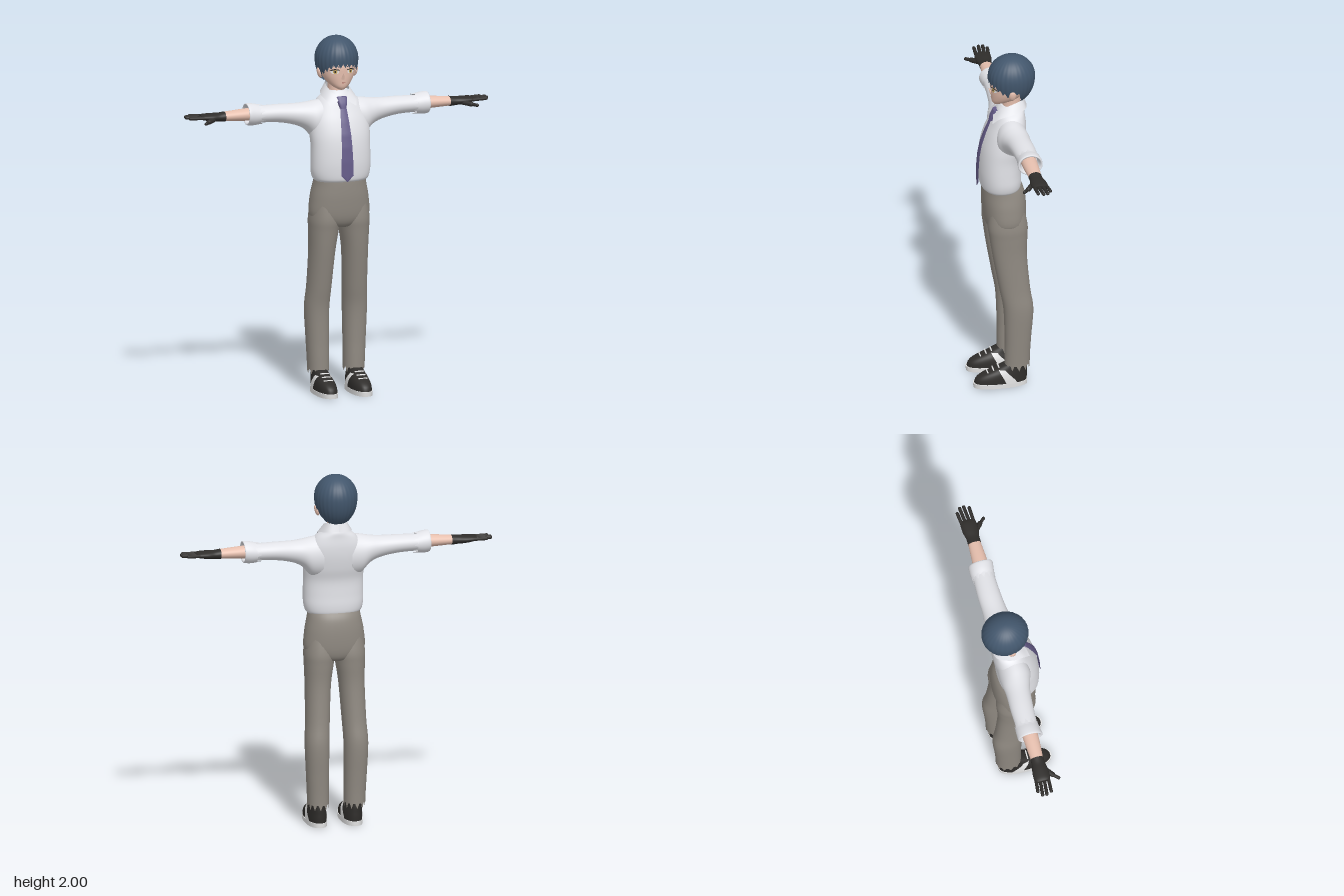
import * as THREE from 'three';
import { mergeVertices } from 'three/addons/utils/BufferGeometryUtils.js';

const paint = (name, color) => {
  const m = new THREE.MeshStandardMaterial({ color, side: THREE.DoubleSide });
  m.name = name;
  return m;
};
const HAIR = paint('hair blue', 0x42566c), SKIN = paint('skin', 0xe6bfae), SHIRT = paint('shirt white', 0xe6e7ec);
const PANTS = paint('trouser grey', 0x8f8981), TIE = paint('tie purple', 0x665d8a), BLACK = paint('black', 0x2f2d2b);
const WHITE = paint('sole white', 0xe4e4e4), GOLD = paint('iris gold', 0xc9a860), LIP = paint('lip', 0xa8685f);

// Grid of (nu+1) rows by nv columns; rows can close into rings and be capped
function grid(nu, nv, fn, { closed = false, capStart = false, capEnd = false } = {}) {
  const pos = [], idx = [], cols = closed ? nv : nv + 1;
  for (let i = 0; i <= nu; i++)
    for (let j = 0; j < cols; j++) pos.push(...fn(i / nu, j / nv, i, j));
  for (let i = 0; i < nu; i++)
    for (let j = 0; j < nv; j++) {
      const k = (j + 1) % cols, a = i * cols + j, b = i * cols + k;
      idx.push(a, a + cols, b, b, a + cols, b + cols);
    }
  const cap = (row, end) => {
    const base = pos.length / 3, c = [0, 0, 0];
    for (let j = 0; j < cols; j++)
      for (let k = 0; k < 3; k++) {
        const p = pos[(row * cols + j) * 3 + k];
        pos.push(p);
        c[k] += p / cols;
      }
    pos.push(...c);
    for (let j = 0; j < cols; j++) {
      const a = base + j, b = base + (j + 1) % cols;
      idx.push(base + cols, end ? b : a, end ? a : b);
    }
  };
  if (capStart) cap(0, false);
  if (capEnd) cap(nu, true);
  const g = new THREE.BufferGeometry();
  g.setAttribute('position', new THREE.Float32BufferAttribute(pos, 3));
  g.setIndex(idx);
  g.computeVertexNormals();
  return g;
}

// Smoothly interpolated section at u (0..1)
function sectionAt(s, u) {
  const f = u * (s.length - 1), i = Math.min(Math.floor(f), s.length - 2), t = f - i;
  const at = k => s[Math.max(0, Math.min(s.length - 1, k))];
  return s[0].map((_, c) => {
    const a = at(i - 1)[c], b = at(i)[c], d = at(i + 1)[c], e = at(i + 2)[c];
    return b + 0.5 * t * (d - a + t * (2 * a - 5 * b + 4 * d - e + t * (3 * (b - d) + e - a)));
  });
}

// Loft through sections [position, aMin, aMax, bMin, bMax]; axis y: a=x b=z, axis x: a=z b=y
function loft(s, { axis = 'y', n = 2, sides = 36, steps = 5, jagStart = 0, jagEnd = 0, capStart = true, capEnd = true } = {}) {
  const nu = (s.length - 1) * steps;
  const pw = v => Math.sign(v) * Math.abs(v) ** (2 / n);
  return grid(nu, sides, (u, v, i, j) => {
    let [p, a0, a1, b0, b1] = sectionAt(s, u);
    if (j % 3 === 0) p += i === 0 ? jagStart : i === nu ? jagEnd : 0;
    const th = v * Math.PI * 2;
    const a = (a0 + a1) / 2 + (a1 - a0) / 2 * pw(Math.cos(th)), b = (b0 + b1) / 2 + (b1 - b0) / 2 * pw(Math.sin(th));
    return axis === 'y' ? [a, p, b] : [p, b, a];
  }, { closed: true, capStart, capEnd });
}
const sym = rows => rows.map(([y, w, z0, z1]) => [y, -w, w, z0, z1]);

// Rounded rod between two points
function rod(p, q, r) {
  const a = new THREE.Vector3(...p), b = new THREE.Vector3(...q), d = b.clone().sub(a);
  const g = new THREE.CapsuleGeometry(r, d.length(), 4, 10);
  g.applyQuaternion(new THREE.Quaternion().setFromUnitVectors(new THREE.Vector3(0, 1, 0), d.normalize()));
  return g.translate(...a.add(b).multiplyScalar(0.5).toArray());
}

// Thin plate that follows the curve of the face
function facePlate(points, lift) {
  const g = new THREE.ShapeGeometry(new THREE.Shape(points.map(p => new THREE.Vector2(...p))));
  const p = g.attributes.position;
  for (let i = 0; i < p.count; i++) p.setZ(i, -0.034 + 0.101 * Math.sqrt(1 - (p.getX(i) / 0.1) ** 2) + lift);
  g.computeVertexNormals();
  return g;
}
const oval = (x, y, rx, ry) => Array.from({ length: 16 }, (_, i) => [x + rx * Math.cos(i * Math.PI / 8), y + ry * Math.sin(i * Math.PI / 8)]);

export function createModel() {
  const model = new THREE.Group();
  model.name = 'figure';
  const add = (name, geo, mat) => {
    const m = new THREE.Mesh(geo, mat);
    m.name = name;
    model.add(m);
  };
  const both = (name, geo, mat) => {
    const g = geo.index ? geo : mergeVertices(geo), r = g.clone().scale(-1, 1, 1), ix = r.index.array;
    for (let i = 0; i < ix.length; i += 3) [ix[i], ix[i + 1]] = [ix[i + 1], ix[i]];
    add(name + 'Left', g, mat);
    add(name + 'Right', r, mat);
  };

  // Head, neck, ears and nose
  add('head', loft(sym([[1.712, 0.014, 0.015, 0.05], [1.73, 0.045, -0.04, 0.061], [1.76, 0.075, -0.1, 0.065], [1.80, 0.095, -0.13, 0.067],
    [1.85, 0.104, -0.155, 0.066], [1.92, 0.092, -0.145, 0.045], [1.97, 0.045, -0.1, -0.005]])), SKIN);
  add('neck', loft(sym([[1.63, 0.055, -0.105, 0.01], [1.70, 0.048, -0.1, 0], [1.77, 0.05, -0.1, 0]])), SKIN);
  both('ear', new THREE.SphereGeometry(1, 14, 10).scale(0.013, 0.032, 0.02).rotateZ(-0.25).translate(0.104, 1.8, -0.035), SKIN);
  add('nose', new THREE.ConeGeometry(0.011, 0.04, 10).rotateX(0.5).translate(0, 1.795, 0.07), SKIN);

  // Facial details
  both('eyeWhite', facePlate(oval(0.046, 1.818, 0.022, 0.013), 0.004), WHITE);
  both('iris', facePlate(oval(0.045, 1.818, 0.011, 0.0125), 0.006), GOLD);
  both('pupil', facePlate(oval(0.045, 1.818, 0.004, 0.006), 0.0075), BLACK);
  both('lash', facePlate([[0.02, 1.825], [0.045, 1.829], [0.07, 1.82], [0.073, 1.824], [0.047, 1.835], [0.022, 1.83]], 0.007), BLACK);
  both('brow', facePlate([[0.02, 1.842], [0.05, 1.85], [0.073, 1.843], [0.05, 1.855], [0.02, 1.847]], 0.005), HAIR);
  add('mouth', facePlate([[-0.016, 1.755], [0, 1.752], [0.016, 1.755], [0, 1.757]], 0.003), LIP);

  // Hair cap with a tooth-edged rim: fringe, sidelocks, nape
  const rim = [[0, 1.85], [0.5, 1.848], [0.9, 1.82], [1.15, 1.80], [1.35, 1.785], [1.5, 1.815], [1.75, 1.81], [2, 1.75], [2.6, 1.73], [3.15, 1.727]];
  const rimY = a => {
    const k = Math.max(1, rim.findIndex(r => r[0] >= a)), [a0, y0] = rim[k - 1], [a1, y1] = rim[k];
    return y0 + (y1 - y0) * (a - a0) / (a1 - a0);
  };
  add('hair', grid(24, 168, (u, v) => {
    const az = v * Math.PI * 2, a = Math.min(az, Math.PI * 2 - az), tooth = Math.abs(((v * 28) % 1) - 0.35);
    const drop = rimY(a) - 1.875 + (a < 1.4 ? 0.045 : 0.025) * (tooth - 0.25);
    const phi = u * Math.acos(drop / (drop > 0 ? 0.125 : 0.165)), c = Math.cos(phi);
    const s = Math.sin(phi) * (1 - 0.04 * u * tooth);
    return [0.12 * s * Math.sin(az), 1.875 + c * (c > 0 ? 0.125 : 0.165), -0.05 + 0.132 * s * Math.cos(az)];
  }, { closed: true }), HAIR);

  // Shirt body, collar, sleeves and rolled cuffs
  add('shirtBody', loft(sym([[1.205, 0.146, -0.085, 0.118], [1.22, 0.158, -0.095, 0.127], [1.26, 0.167, -0.098, 0.132], [1.32, 0.168, -0.095, 0.134],
    [1.40, 0.167, -0.095, 0.129], [1.47, 0.17, -0.112, 0.117], [1.54, 0.166, -0.123, 0.094], [1.60, 0.148, -0.125, 0.066],
    [1.65, 0.115, -0.12, 0.042], [1.68, 0.075, -0.117, 0.028], [1.70, 0.055, -0.107, 0.01]]), { n: 2.3, sides: 48 }), SHIRT);
  const curve = pts => new THREE.CatmullRomCurve3(pts.map(p => new THREE.Vector3(...p)));
  const top = curve([[0.012, 1.66, 0.056], [0.052, 1.70, 0.012], [0.062, 1.725, -0.045], [0.045, 1.74, -0.1], [0, 1.745, -0.115]]);
  const hem = curve([[0.075, 1.622, 0.072], [0.088, 1.655, 0.03], [0.095, 1.675, -0.04], [0.065, 1.69, -0.115], [0, 1.69, -0.135]]);
  both('collar', grid(4, 20, (u, v) => hem.getPoint(v).lerp(top.getPoint(v), u).toArray()), SHIRT);
  both('sleeve', loft([[0.08, -0.115, 0.055, 1.42, 1.655], [0.14, -0.118, 0.058, 1.43, 1.648], [0.19, -0.115, 0.042, 1.485, 1.64], [0.25, -0.11, 0.026, 1.515, 1.635],
    [0.35, -0.112, 0.016, 1.535, 1.635], [0.47, -0.108, 0.01, 1.54, 1.632]], { axis: 'x' }), SHIRT);
  both('cuff', loft([[0.455, -0.116, 0.014, 1.53, 1.64], [0.49, -0.118, 0.018, 1.526, 1.648], [0.525, -0.116, 0.022, 1.53, 1.65],
    [0.52, -0.105, 0.008, 1.542, 1.638], [0.48, -0.095, -0.002, 1.55, 1.63]],
    { axis: 'x', jagStart: -0.025, capStart: false, capEnd: false }), SHIRT);

  // Tie: blade following the chest, and a knot
  const blade = [[1.21, 0.001, 0.147], [1.245, 0.036, 0.146], [1.32, 0.034, 0.145], [1.40, 0.031, 0.139], [1.47, 0.028, 0.126], [1.54, 0.024, 0.103], [1.62, 0.018, 0.07]];
  add('tieBlade', grid(36, 4, (u, v) => {
    const f = u * 6, i = Math.min(5, Math.floor(f)), [y, w, z] = blade[i].map((b, c) => b + (blade[i + 1][c] - b) * (f - i));
    return [(2 * v - 1) * w, y, z - 0.003 * (2 * v - 1) ** 2];
  }), TIE);
  add('tieKnot', loft(sym([[1.61, 0.018, 0.045, 0.078], [1.64, 0.026, 0.035, 0.07], [1.672, 0.031, 0.02, 0.053]]), { n: 3 }), TIE);

  // Trousers
  add('trouserSeat', loft(sym([[0.935, 0.03, -0.05, 0.04], [0.95, 0.11, -0.1, 0.08], [1.0, 0.168, -0.122, 0.105], [1.10, 0.165, -0.125, 0.115],
    [1.18, 0.15, -0.114, 0.115], [1.225, 0.143, -0.09, 0.112]]), { n: 2.3 }), PANTS);
  both('trouserLeg', loft([[0.13, 0.045, 0.162, -0.13, 0.01], [0.2, 0.045, 0.165, -0.132, 0.01], [0.3, 0.045, 0.17, -0.138, 0.01], [0.47, 0.043, 0.177, -0.149, 0.017],
    [0.6, 0.037, 0.17, -0.132, 0.04], [0.8, 0.025, 0.166, -0.116, 0.075], [0.92, 0.008, 0.169, -0.12, 0.092], [0.99, 0, 0.17, -0.121, 0.1],
    [1.10, 0.02, 0.155, -0.1, 0.09]], { n: 2.2, jagStart: -0.03, capStart: false }), PANTS);

  // Forearms and gloves
  both('forearm', loft([[0.44, -0.092, -0.002, 1.55, 1.628], [0.55, -0.088, -0.004, 1.556, 1.622], [0.67, -0.08, -0.012, 1.562, 1.612]], { axis: 'x' }), SKIN);
  both('glovePalm', loft([[0.655, -0.083, -0.009, 1.558, 1.615], [0.69, -0.083, -0.009, 1.562, 1.61], [0.73, -0.092, -0.002, 1.565, 1.61],
    [0.775, -0.094, -0.004, 1.573, 1.608], [0.795, -0.088, -0.012, 1.58, 1.603]], { axis: 'x' }), BLACK);
  [[0.845, -0.092], [0.872, -0.072], [0.874, -0.048], [0.862, -0.02]].forEach(([x, z], i) =>
    both('finger' + (i + 1), rod([0.77, 1.59, -0.083 + i * 0.0225], [x, 1.593, z], 0.0098), BLACK));
  both('thumb', rod([0.72, 1.58, -0.022], [0.765, 1.573, 0.015], 0.014), BLACK);
  both('thumbTip', rod([0.765, 1.573, 0.015], [0.79, 1.57, 0.042], 0.0095), BLACK);

  // Shoes: sole, upper, side stripes, laces
  const upper = [[0.02, 0.045, 0.156, -0.113, 0.182], [0.05, 0.046, 0.155, -0.115, 0.172], [0.075, 0.05, 0.152, -0.115, 0.14],
    [0.1, 0.058, 0.147, -0.115, 0.08], [0.13, 0.065, 0.142, -0.112, 0.015]];
  both('sole', loft([[0, 0.043, 0.158, -0.116, 0.185], [0.026, 0.042, 0.159, -0.117, 0.187]], { n: 2.4, steps: 1, sides: 48 }), WHITE);
  both('shoe', loft(upper, { n: 2.4, sides: 48 }), BLACK);
  for (const side of [-1, 1])
    both(side > 0 ? 'outerStripe' : 'innerStripe', grid(10, 6, (u, v) => {
      const [y, x0, x1, z0, z1] = sectionAt(upper, 0.05 + 0.75 * u);
      const z = -0.055 + 0.07 * u + (0.065 - 0.03 * u) * v, d = Math.abs((z - (z0 + z1) / 2) / ((z1 - z0) / 2));
      return [(x0 + x1) / 2 + side * ((x1 - x0) / 2 * (1 - d ** 2.4) ** (1 / 2.4) + 0.003), y, z];
    }), WHITE);
  [[0.088, 0.112], [0.102, 0.08], [0.116, 0.05]].forEach(([y, z], i) =>
    both('lace' + (i + 1), rod([0.078, y, z - 0.004], [0.124, y, z - 0.004], 0.004), WHITE));

  return model;
}
